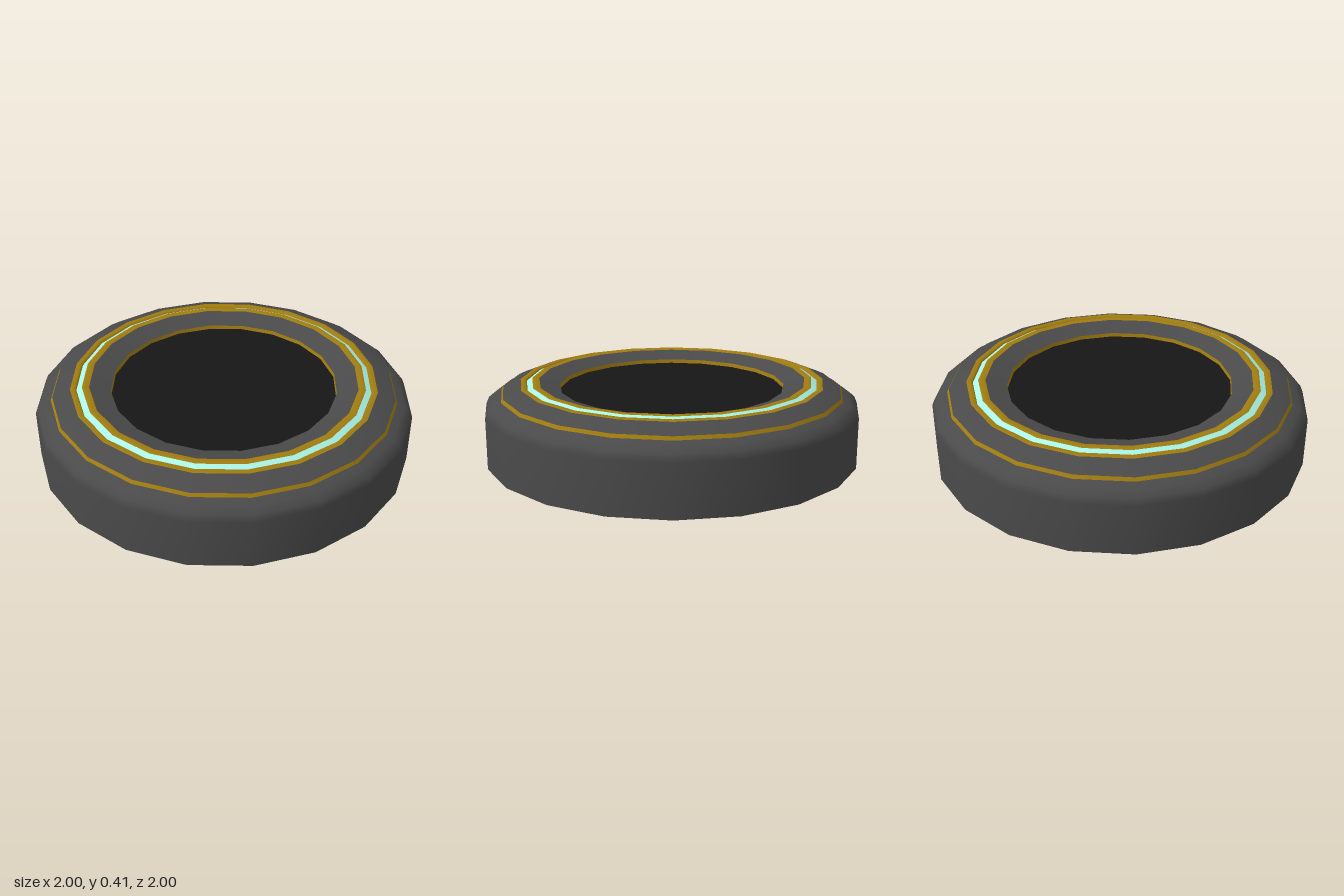
import * as THREE from 'three';

const SIDES = 20;
const material = (color) => new THREE.MeshStandardMaterial({ color, side: THREE.DoubleSide });

export function createModel() {
  const group = new THREE.Group();
  group.name = 'roundBase';
  const dark = material(0x4a4a4a);
  const gold = material(0xa07c10);
  const glow = material(0xaaf5e6);
  const black = material(0x161616);

  // Each band is a short [radius, height] profile turned around the y axis
  const bands = [
    ['outerWall', dark, [[1, 0], [1, 0.27], [0.985, 0.305], [0.955, 0.33], [0.915, 0.347]]],
    ['outerTrim', gold, [[0.915, 0.347], [0.905, 0.364]]],
    ['outerSlope', dark, [[0.905, 0.364], [0.86, 0.385], [0.81, 0.403]]],
    ['grooveOuterTrim', gold, [[0.81, 0.403], [0.785, 0.408], [0.777, 0.395]]],
    ['lightRing', glow, [[0.777, 0.395], [0.748, 0.41]]],
    ['grooveInnerTrim', gold, [[0.748, 0.41], [0.735, 0.415], [0.71, 0.41]]],
    ['innerSlope', dark, [[0.71, 0.41], [0.6, 0.375]]],
    ['innerTrim', gold, [[0.6, 0.375], [0.596, 0.355]]],
    ['centreDisc', black, [[0.596, 0.355], [0, 0.355]]],
  ];
  for (const [name, mat, profile] of bands) {
    const points = profile.map(([r, y]) => new THREE.Vector2(r, y));
    const mesh = new THREE.Mesh(new THREE.LatheGeometry(points, SIDES), mat);
    mesh.name = name;
    group.add(mesh);
  }
  return group;
}
